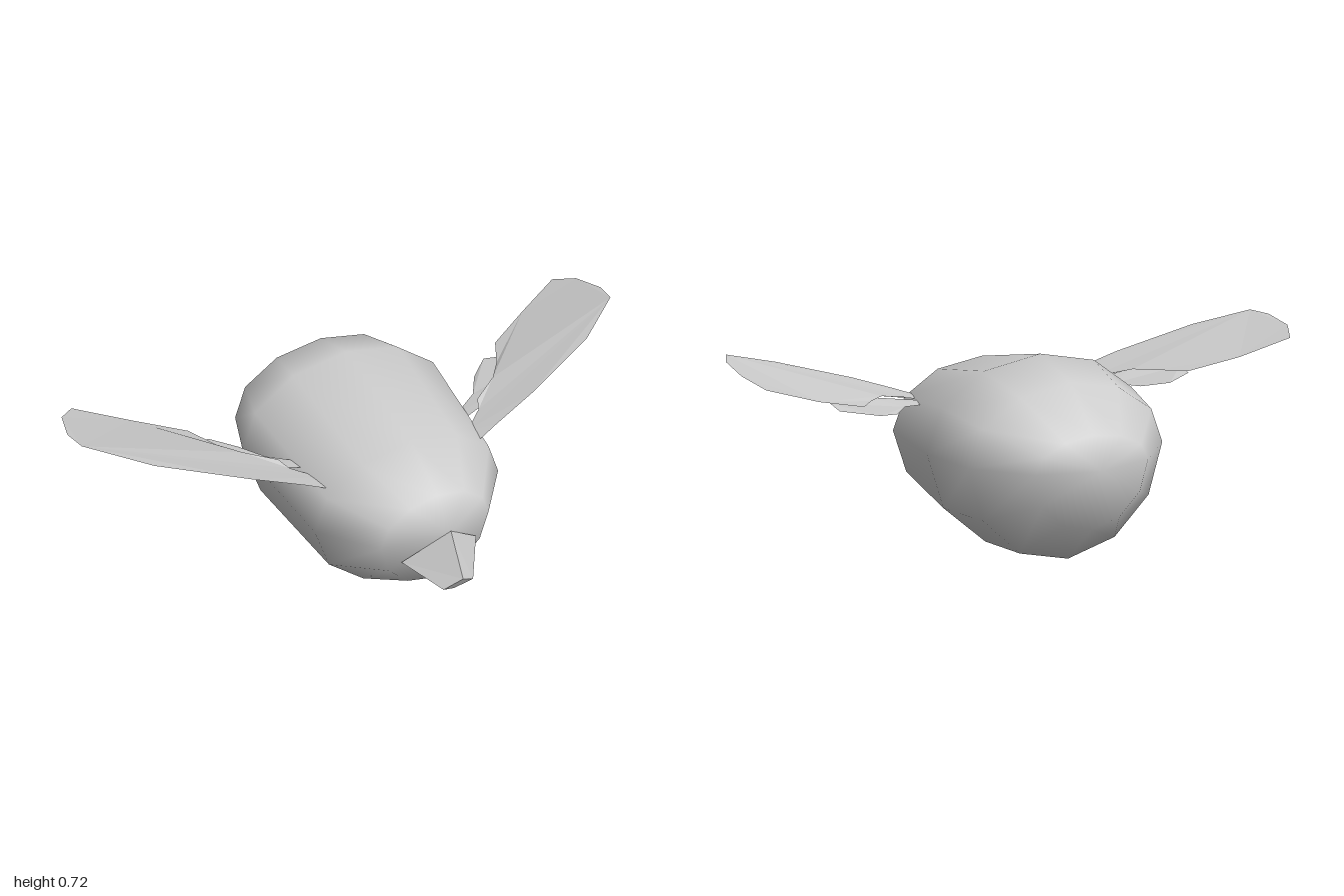
import * as THREE from 'three';
import { mergeVertices } from 'three/addons/utils/BufferGeometryUtils.js';

const material = (options = {}) => new THREE.MeshStandardMaterial({ color: 0xcccccc, ...options });

function makeGeometry(points, index) {
  const geometry = new THREE.BufferGeometry();
  geometry.setAttribute('position', new THREE.Float32BufferAttribute(points.flat(), 3));
  geometry.setIndex(index);
  const merged = mergeVertices(geometry, 1e-4);
  merged.computeVertexNormals();
  return merged;
}

// Joins closed rings of equal length, ordered from back to front
function loft(rings) {
  const n = rings[0].length;
  const index = [];
  for (let i = 0; i < rings.length - 1; i++) {
    for (let j = 0; j < n; j++) {
      const a = i * n + j, b = i * n + (j + 1) % n;
      index.push(a, b, a + n, b, b + n, a + n);
    }
  }
  return makeGeometry(rings.flat(), index);
}

// Twelve-sided ring, flatter above its widest line than below
function bodyRing([z, width, y, up, down]) {
  return Array.from({ length: 12 }, (_, j) => {
    const angle = (j / 12) * Math.PI * 2;
    const s = Math.sin(angle);
    return [width * Math.cos(angle), y + s * (s > 0 ? up : down), z];
  });
}

// Thin sheet spanning an outline of [x, y, z] corners; side mirrors it
function wingGeometry(outline, side) {
  const contour = outline.map(([x, , z]) => new THREE.Vector2(x, z));
  const index = THREE.ShapeUtils.triangulateShape(contour, []).flat();
  if (side > 0) index.reverse();
  return makeGeometry(outline.map(([x, y, z]) => [x * side, y, z]), index);
}

export function createModel() {
  const model = new THREE.Group();
  const add = (name, geometry, mat) => {
    const mesh = new THREE.Mesh(geometry, mat);
    mesh.name = name;
    model.add(mesh);
  };

  // Plump body: z, half width, height of widest line, rise, drop
  const body = [
    [-0.61, 0, 0.385, 0, 0],
    [-0.555, 0.2, 0.385, 0.1, 0.205],
    [-0.405, 0.35, 0.385, 0.235, 0.353],
    [-0.2, 0.405, 0.385, 0.29, 0.38],
    [0.26, 0.35, 0.345, 0.24, 0.32],
    [0.435, 0.2, 0.345, 0.145, 0.205],
    [0.525, 0, 0.4, 0, 0],
  ];
  add('body', loft(body.map(bodyRing)), material());

  // Faceted beak with a short blunt tip
  const beak = [
    [[0.14, 0.285, 0.46], [0, 0.41, 0.525], [-0.14, 0.285, 0.46], [0, 0.195, 0.455]],
    [[0.055, 0.232, 0.585], [0, 0.275, 0.61], [-0.055, 0.232, 0.585], [0, 0.195, 0.56]],
    Array.from({ length: 4 }, () => [0, 0.234, 0.585]),
  ];
  add('beak', loft(beak), material({ flatShading: true }));

  // Large front wings and small hind wings
  const frontWing = [
    [0.265, 0.472, 0.235], [0.36, 0.51, 0.215], [0.52, 0.57, 0.185], [0.8, 0.665, 0.1],
    [0.98, 0.725, -0.015], [1, 0.72, -0.1], [0.985, 0.7, -0.23], [0.935, 0.67, -0.31],
    [0.765, 0.605, -0.25], [0.6, 0.555, -0.175], [0.54, 0.545, -0.07], [0.48, 0.54, 0],
    [0.38, 0.515, 0.06], [0.36, 0.5, 0.1], [0.28, 0.475, 0.16],
  ];
  const hindWing = [
    [0.28, 0.48, 0.11], [0.5, 0.525, 0.06], [0.6, 0.537, 0.02], [0.665, 0.542, -0.03],
    [0.655, 0.53, -0.1], [0.54, 0.515, -0.155], [0.46, 0.497, -0.09],
    [0.4, 0.495, 0], [0.3, 0.48, 0.06],
  ];
  const wingMaterial = material({ flatShading: true, side: THREE.DoubleSide });
  for (const [label, side] of [['left', 1], ['right', -1]]) {
    add(`${label}FrontWing`, wingGeometry(frontWing, side), wingMaterial);
    add(`${label}HindWing`, wingGeometry(hindWing, side), wingMaterial);
  }
  return model;
}
